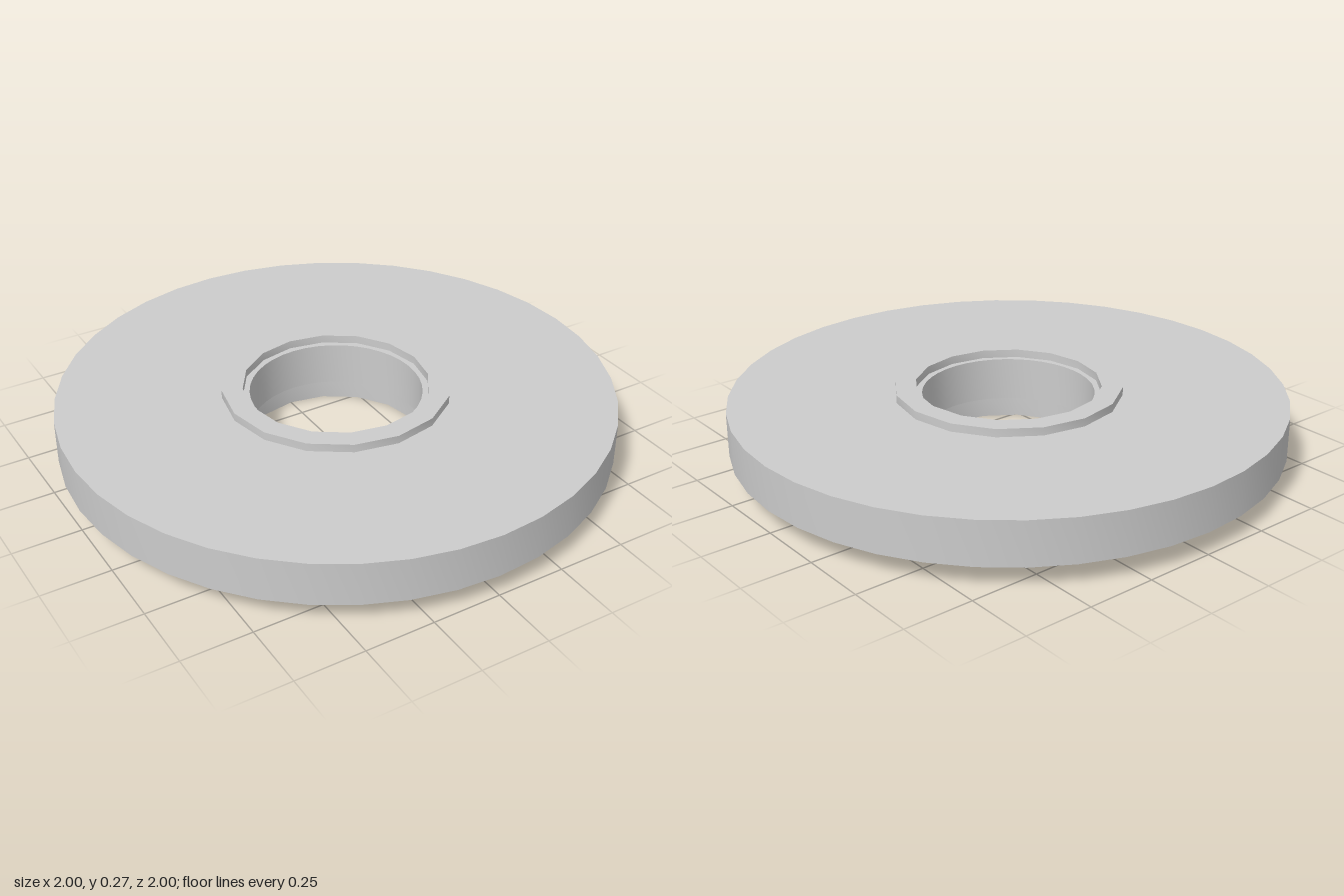
import * as THREE from 'three';
import { toCreasedNormals } from 'three/addons/utils/BufferGeometryUtils.js';

const grey = new THREE.MeshStandardMaterial({ color: 0xcccccc });
const dark = new THREE.MeshStandardMaterial({ color: 0x555555 });

// Flat ring of rectangular section between heights y0 and y1
function ring(name, inner, outer, y0, y1, sides) {
  const profile = [[inner, y0], [outer, y0], [outer, y1], [inner, y1], [inner, y0]]
    .map(([x, y]) => new THREE.Vector2(x, y));
  const geometry = toCreasedNormals(new THREE.LatheGeometry(profile, sides), 0.6);
  const mesh = new THREE.Mesh(geometry, grey);
  mesh.name = name;
  return mesh;
}

// Six hexagonal bolt heads on a circle under the disc
function boltCircle(name, radius) {
  const group = new THREE.Group();
  group.name = name;
  const geometry = toCreasedNormals(new THREE.CylinderGeometry(0.067, 0.067, 0.015, 6), 0.6);
  geometry.rotateY(Math.PI / 2);
  for (let i = 0; i < 6; i++) {
    const angle = i * Math.PI / 3;
    const bolt = new THREE.Mesh(geometry, dark);
    bolt.name = 'boltHead';
    bolt.position.set(radius * Math.cos(angle), 0.08, radius * Math.sin(angle));
    group.add(bolt);
  }
  return group;
}

export function createModel() {
  const model = new THREE.Group();
  model.name = 'flangedDisc';
  model.add(
    ring('disc', 0.31, 1, 0.08, 0.24, 40),
    ring('upperCollar', 0.335, 0.41, 0.24, 0.27, 16),
    ring('lowerHub', 0.335, 0.425, 0, 0.08, 16),
    boltCircle('outerBolts', 0.8),
    boltCircle('innerBolts', 0.425)
  );
  return model;
}
